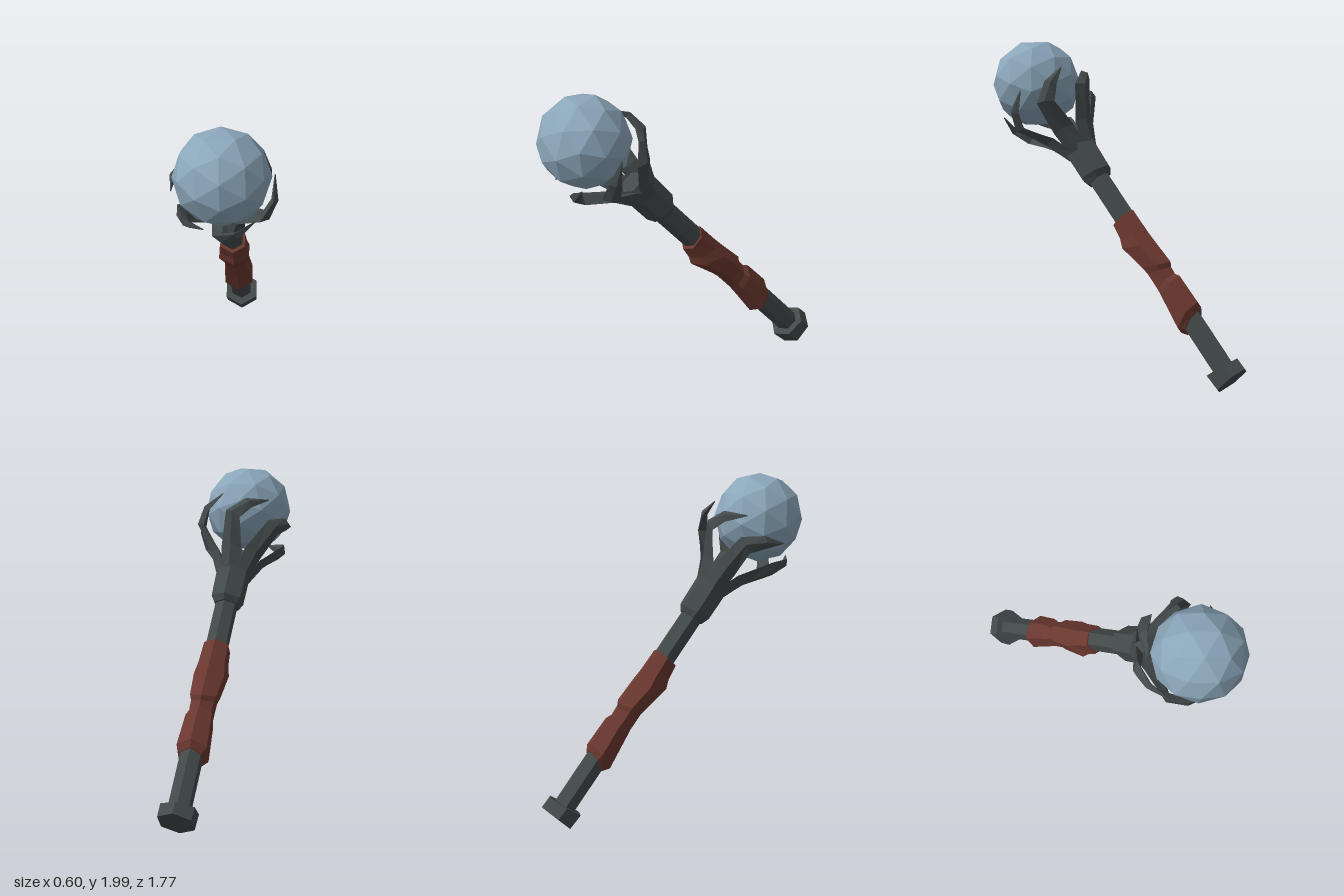
import * as THREE from 'three';

const DEG = Math.PI / 180;

// Joins equal-sized rings of points into a closed, faceted solid.
function loft(rings) {
  const pos = [];
  const n = rings[0].length;
  const tri = (...pts) => pts.forEach((p) => pos.push(p.x, p.y, p.z));
  for (let i = 0; i < rings.length - 1; i++) {
    const a = rings[i], b = rings[i + 1];
    for (let k = 0; k < n; k++) {
      const m = (k + 1) % n;
      tri(a[k], b[k], b[m]);
      tri(a[k], b[m], a[m]);
    }
  }
  const first = rings[0], last = rings[rings.length - 1];
  for (let k = 1; k < n - 1; k++) {
    tri(first[0], first[k], first[k + 1]);
    tri(last[0], last[k + 1], last[k]);
  }
  const g = new THREE.BufferGeometry();
  g.setAttribute('position', new THREE.Float32BufferAttribute(pos, 3));
  g.computeVertexNormals();
  return g;
}

// Slanted hexagon: height and offset of its back corner, then of its front corner.
function hexRing([backY, backU, frontY, frontU]) {
  const radius = (backU - frontU) / 2;
  return Array.from({ length: 6 }, (_, k) => {
    const phi = k * 60 * DEG;
    const t = (1 + Math.cos(phi)) / 2;
    return new THREE.Vector3(
      radius * Math.sin(phi),
      THREE.MathUtils.lerp(frontY, backY, t),
      -THREE.MathUtils.lerp(frontU, backU, t)
    );
  });
}

// Diamond section of a claw: height, radius, swirl, half width, half thickness, roll.
function clawRing([y, r, swirl, w, t, roll]) {
  const th = swirl * DEG;
  const out = new THREE.Vector3(Math.sin(th), 0, -Math.cos(th));
  const side = new THREE.Vector3(Math.cos(th), 0, Math.sin(th))
    .multiplyScalar(Math.cos(roll * DEG));
  side.y = Math.sin(roll * DEG);
  const c = out.clone().multiplyScalar(r).setY(y);
  return [
    c.clone().addScaledVector(out, t),
    c.clone().addScaledVector(side, w),
    c.clone().addScaledVector(out, -t),
    c.clone().addScaledVector(side, -w),
  ];
}

export function createModel() {
  const material = (name, color) => {
    const m = new THREE.MeshStandardMaterial({ color, flatShading: true });
    m.name = name;
    return m;
  };
  const iron = material('dark iron', 0x434a4a);
  const leather = material('red leather', 0x6b3830);
  const crystal = material('pale blue crystal', 0x8ba6ba);

  const model = new THREE.Group();
  model.name = 'orbMace';
  const mace = new THREE.Group();
  mace.name = 'tiltedMace';
  model.add(mace);

  const add = (name, geometry, mat, parent = mace) => {
    const mesh = new THREE.Mesh(geometry, mat);
    mesh.name = name;
    parent.add(mesh);
    return mesh;
  };

  // Handle
  add('shaft', loft([[0.05, 0.07, 0.05, -0.07], [1.6, 0.07, 1.6, -0.07]].map(hexRing)), iron);
  add('pommel', loft([
    [0.008, 0.117, -0.011, -0.11],
    [0.082, 0.113, 0.099, -0.119],
  ].map(hexRing)), iron);

  // Leather wrap, uneven along its length
  add('grip', loft([
    [0.44, 0.074, 0.364, -0.076],
    [0.482, 0.1, 0.4, -0.107],
    [0.67, 0.096, 0.62, -0.082],
    [0.7, 0.076, 0.67, -0.078],
    [0.745, 0.08, 0.8, -0.078],
    [0.77, 0.097, 0.85, -0.086],
    [0.918, 0.085, 1.027, -0.128],
    [1.0, 0.08, 1.075, -0.105],
    [1.163, 0.078, 1.147, -0.092],
  ].map(hexRing)), leather);

  // Collar that the claws grow from
  add('collar', loft([
    [1.445, 0.08, 1.445, -0.08],
    [1.475, 0.107, 1.5, -0.1],
    [1.672, 0.115, 1.68, -0.1],
    [1.76, 0.08, 1.76, -0.07],
  ].map(hexRing)), iron);

  // Six swirling claws
  const clawGeometry = loft([
    [1.65, 0.07, 0, 0.058, 0.035, 0],
    [1.79, 0.135, 0, 0.066, 0.035, 5],
    [1.95, 0.265, -2, 0.055, 0.028, 28],
    [2.03, 0.288, -20, 0.038, 0.02, 50],
    [2.1, 0.285, -44, 0.003, 0.003, 56],
  ].map(clawRing));
  const claws = new THREE.Group();
  claws.name = 'claws';
  mace.add(claws);
  for (let i = 0; i < 6; i++) {
    add('claw', clawGeometry, iron, claws).rotation.y = -(5 + i * 60) * DEG;
  }

  // Faceted orb, one corner on the handle's axis
  const orb = new THREE.IcosahedronGeometry(0.27, 1);
  orb.rotateX(-Math.atan((1 + Math.sqrt(5)) / 2));
  add('orb', orb, crystal).position.y = 2.187;

  // Lean the whole mace forward
  const foot = new THREE.Vector3(0.083, 0.083, -0.805);
  const head = new THREE.Vector3(0, 1.735, 0.62);
  mace.position.copy(foot);
  mace.quaternion.setFromUnitVectors(
    new THREE.Vector3(0, 1, 0),
    head.sub(foot).normalize()
  );
  return model;
}
